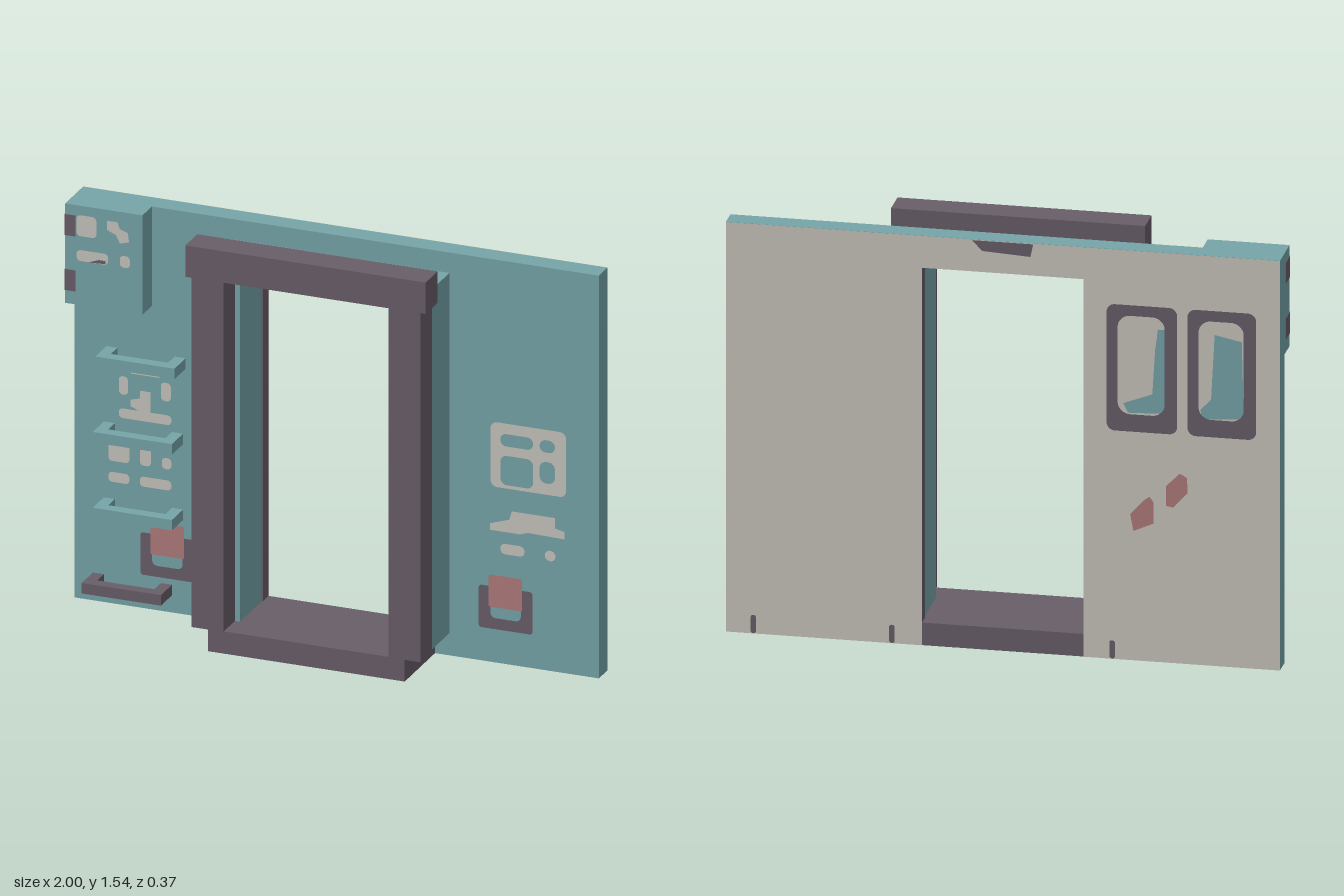
import * as THREE from 'three';

export function createModel() {
  const root = new THREE.Group();
  const mat = (name, color, side = THREE.FrontSide) => {
    const m = new THREE.MeshStandardMaterial({ color, side });
    m.name = name;
    return m;
  };
  const teal = mat('teal paint', 0x76a5a9);
  const dark = mat('dark trim', 0x695e69);
  const cream = mat('cream paint', 0xc8c5bd, THREE.DoubleSide);
  const red = mat('faded red', 0xb07b7b, THREE.DoubleSide);
  teal.side = dark.side = THREE.DoubleSide;

  const add = (name, geo, m, parent = root) => {
    const mesh = new THREE.Mesh(geo, m);
    mesh.name = name;
    parent.add(mesh);
    return mesh;
  };
  // Box given by its two opposite corners
  const box = (name, m, x0, x1, y0, y1, z0, z1, parent) => {
    const g = new THREE.BoxGeometry(x1 - x0, y1 - y0, z1 - z0);
    g.translate((x0 + x1) / 2, (y0 + y1) / 2, (z0 + z1) / 2);
    return add(name, g, m, parent);
  };
  const poly = (pts) => new THREE.Shape(pts.map(([x, y]) => new THREE.Vector2(x, y)));
  // Rounded rectangle
  const rr = (x0, x1, y0, y1, r = 0.015) => {
    r = Math.min(r, (x1 - x0) / 2 - 0.001, (y1 - y0) / 2 - 0.001);
    const s = new THREE.Shape();
    s.absarc(x1 - r, y0 + r, r, -Math.PI / 2, 0);
    s.absarc(x1 - r, y1 - r, r, 0, Math.PI / 2);
    s.absarc(x0 + r, y1 - r, r, Math.PI / 2, Math.PI);
    s.absarc(x0 + r, y0 + r, r, Math.PI, Math.PI * 1.5);
    return s;
  };
  // Flat painted marking; back = true turns the face towards -z
  const paint = (name, m, shape, z, holes = [], back = false) => {
    shape.holes.push(...holes);
    const g = new THREE.ShapeGeometry(shape, 6);
    if (back) {
      const idx = g.index.array;
      for (let i = 0; i < idx.length; i += 3) [idx[i], idx[i + 1]] = [idx[i + 1], idx[i]];
      g.computeVertexNormals();
    }
    g.translate(0, 0, z);
    return add(name, g, m);
  };

  // Wall slab with door opening, cream on its back
  const H = 1.54, BACK = -0.185, FRONT = -0.105;
  const wallShape = (w, top) => poly([[-1, 0], [-w, 0], [-w, top], [w, top], [w, 0], [1, 0], [1, H], [-1, H]]);
  const wallGeo = new THREE.ExtrudeGeometry(wallShape(0.3, 1.43), { depth: FRONT - BACK, bevelEnabled: false });
  wallGeo.translate(0, 0, BACK);
  add('wall', wallGeo, teal);
  paint('wallBack', cream, wallShape(0.292, 1.42), BACK - 0.002, [], true);

  // Door surround, lining, posts, lintel and sill
  for (const s of [-1, 1]) {
    const side = (name, m, a, b, ...rest) => box(name, m, Math.min(s * a, s * b), Math.max(s * a, s * b), ...rest);
    side('surroundSide', teal, 0.296, 0.43, 0.085, 1.462, -0.13, 0.075);
    side('doorLining', dark, 0.292, 0.305, 0.05, 1.42, BACK, -0.13);
    side('doorPost', dark, 0.315, 0.437, 0.085, 1.42, 0.075, 0.185);
  }
  box('surroundTop', teal, -0.3, 0.3, 1.423, 1.462, -0.13, 0.075);
  box('doorLiningTop', dark, -0.3, 0.3, 1.42, 1.435, BACK, -0.13);
  box('lintel', dark, -0.46, 0.457, 1.42, H, 0.072, 0.185);
  box('sill', dark, -0.375, 0.375, 0, 0.085, -0.11, 0.18);
  box('threshold', dark, -0.3, 0.3, 0, 0.085, BACK, -0.1);

  // Corner cabinet with dark hinges wrapping round the edge
  const CAB = -0.017;
  box('cabinet', teal, -1, -0.705, 1.16, H, FRONT - 0.005, CAB);
  for (const [y0, y1] of [[1.42, 1.5], [1.21, 1.29]])
    box('hinge', dark, -1.002, -0.96, y0, y1, -0.085, CAB + 0.002);

  // Ladder rungs: a bar on two legs
  for (const [x0, y0, m] of [[-0.878, 0.94, teal], [-0.888, 0.65, teal], [-0.888, 0.36, teal], [-0.93, 0.066, dark]]) {
    const rung = new THREE.Group();
    rung.name = 'rung';
    root.add(rung);
    const x1 = x0 + 0.302, y1 = y0 + 0.04;
    box('rungBar', m, x0, x1, y0, y1, -0.043, 0, rung);
    box('rungLeg', m, x0, x0 + 0.042, y0, y1, FRONT - 0.01, -0.043, rung);
    box('rungLeg', m, x1 - 0.042, x1, y0, y1, FRONT - 0.01, -0.043, rung);
  }

  // Cream marks on the cabinet
  const CZ = CAB + 0.003;
  for (const r of [[-0.955, -0.88, 1.425, 1.505], [-0.955, -0.835, 1.33, 1.372], [-0.79, -0.752, 1.33, 1.375]])
    paint('cabinetMark', cream, rr(...r), CZ);
  paint('cabinetMark', cream, poly([[-0.84, 1.5], [-0.8, 1.5], [-0.79, 1.475], [-0.76, 1.465], [-0.755, 1.43],
    [-0.79, 1.42], [-0.805, 1.45], [-0.84, 1.465]]), CZ);
  paint('cabinetScratch', dark, poly([[-0.91, 1.33], [-0.845, 1.333], [-0.845, 1.345], [-0.87, 1.345]]), CZ + 0.001);

  // Cream marks behind the ladder
  const FZ = FRONT + 0.002;
  for (const r of [
    [-0.83, -0.795, 0.805, 0.875], [-0.67, -0.632, 0.805, 0.875], [-0.83, -0.63, 0.715, 0.752],
    [-0.87, -0.79, 0.545, 0.63], [-0.75, -0.708, 0.545, 0.63], [-0.666, -0.63, 0.545, 0.588],
    [-0.87, -0.79, 0.465, 0.503], [-0.75, -0.63, 0.465, 0.503]])
    paint('ladderMark', cream, rr(...r), FZ);
  paint('ladderMark', cream, poly([[-0.785, 0.89], [-0.675, 0.89], [-0.68, 0.915], [-0.71, 0.938], [-0.75, 0.938], [-0.78, 0.915]]), FZ);
  paint('ladderMark', cream, poly([[-0.75, 0.75], [-0.71, 0.75], [-0.71, 0.83], [-0.75, 0.83], [-0.75, 0.8], [-0.785, 0.79], [-0.785, 0.765]]), FZ);

  // Cream panel and marks right of the door
  paint('panelFrame', cream, rr(0.588, 0.876, 0.672, 0.92, 0.025), FZ, [
    rr(0.625, 0.75, 0.833, 0.88, 0.025), rr(0.775, 0.833, 0.833, 0.88, 0.025),
    rr(0.625, 0.75, 0.685, 0.797, 0.025), rr(0.775, 0.833, 0.715, 0.797, 0.025)]);
  paint('panelMark', cream, poly([[0.585, 0.505], [0.7, 0.505], [0.73, 0.515], [0.87, 0.512], [0.87, 0.54],
    [0.833, 0.548], [0.833, 0.588], [0.668, 0.588], [0.66, 0.555], [0.585, 0.53]]), FZ);
  for (const r of [[0.625, 0.717, 0.42, 0.46], [0.795, 0.835, 0.42, 0.46]])
    paint('panelMark', cream, rr(...r, 0.02), FZ);

  // Red lamps in dark brackets, one each side
  for (const cx of [-0.645, 0.645]) {
    paint('lampBracket', dark, rr(cx - 0.103, cx + 0.103, 0.128, 0.29, 0.012), FZ,
      [rr(cx - 0.058, cx + 0.058, 0.17, 0.25, 0.02)]);
    paint('lamp', red, rr(cx - 0.064, cx + 0.064, 0.212, 0.335, 0.006), FZ + 0.002);
  }

  // Back windows with dark frames and teal reflections
  const BZ = BACK - 0.004;
  for (const [x0, x1] of [[-0.63, -0.375], [-0.915, -0.667]])
    paint('windowFrame', dark, rr(x0, x1, 0.86, 1.335, 0.03), BZ, [rr(x0 + 0.045, x1 - 0.04, 0.925, 1.295, 0.045)], true);
  paint('windowPane', teal, poly([[-0.56, 1.25], [-0.585, 1.25], [-0.585, 0.935], [-0.453, 0.93], [-0.435, 0.965],
    [-0.54, 1.005], [-0.55, 1.17]].reverse()), BZ + 0.001, [], true);
  paint('windowPane', teal, poly([[-0.765, 1.245], [-0.863, 1.225], [-0.87, 0.935], [-0.72, 0.925], [-0.713, 0.96],
    [-0.752, 1.0]].reverse()), BZ + 0.001, [], true);

  // Red marks, top tab and foot clips on the back
  paint('backRedMark', red, poly([[-0.51, 0.605], [-0.53, 0.62], [-0.544, 0.6], [-0.544, 0.52], [-0.472, 0.487], [-0.46, 0.55]]), BZ, [], true);
  paint('backRedMark', red, poly([[-0.59, 0.665], [-0.64, 0.715], [-0.665, 0.7], [-0.668, 0.645], [-0.615, 0.585], [-0.59, 0.59]]), BZ, [], true);
  paint('topTab', dark, poly([[-0.11, 1.538], [0.11, 1.538], [0.075, 1.5], [-0.1, 1.49]]), BZ, [], true);
  for (const x of [0.9, 0.4, -0.395])
    paint('footClip', dark, rr(x - 0.01, x + 0.01, 0.002, 0.07, 0.009), BZ, [], true);

  return root;
}
